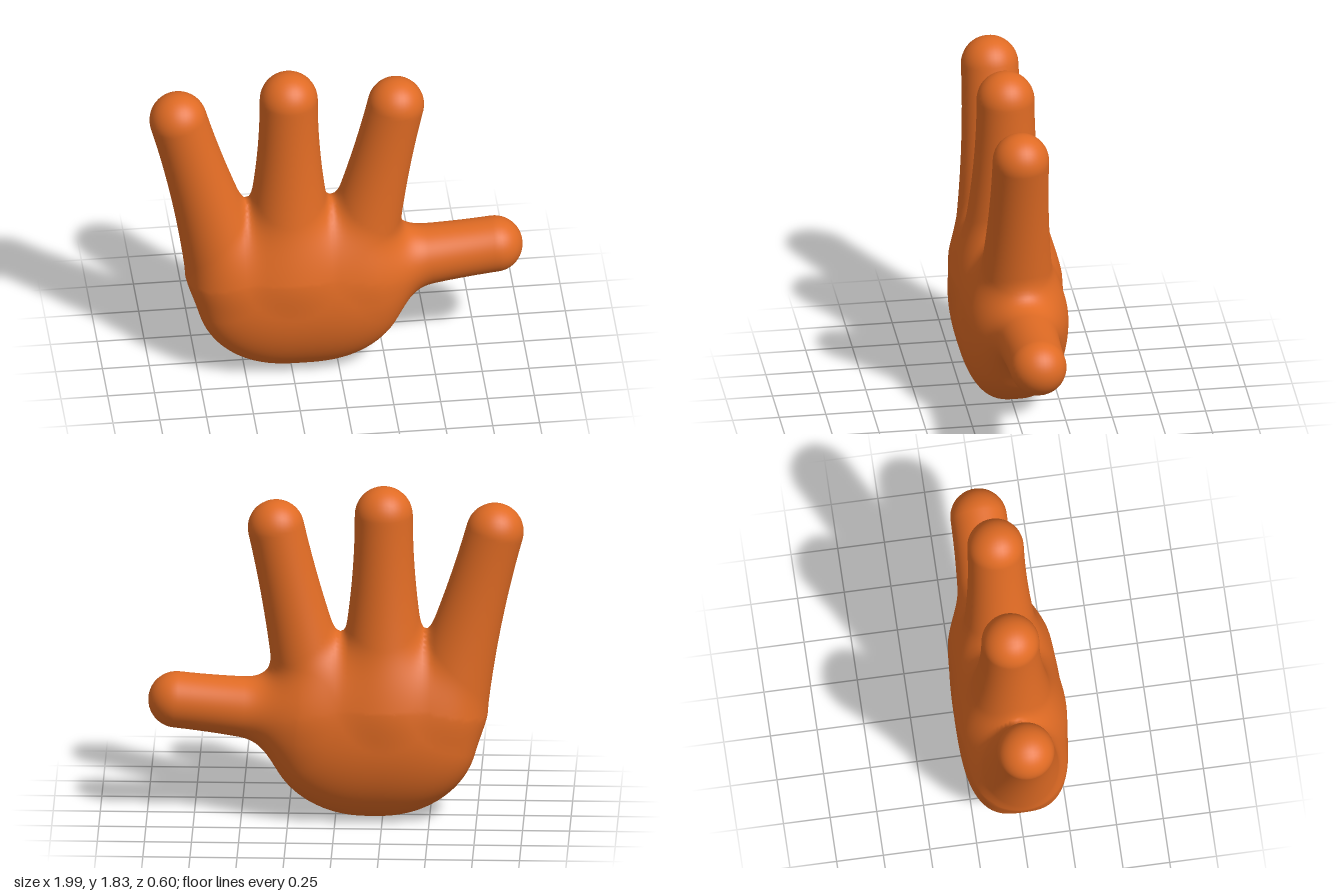
import * as THREE from 'three';

// Fingers taper from a thick root in the palm to a round tip
const FINGERS = [
  { tip: [-0.845, 1.59, 0], root: [-0.58, 0.63, 0], r: 0.153, flare: 0.08, blend: 0.09 },
  { tip: [-0.255, 1.675, 0], root: [-0.255, 0.65, 0], r: 0.154, flare: 0.12, blend: 0.09 },
  { tip: [0.317, 1.6, 0], root: [0.1, 0.63, 0], r: 0.15, flare: 0.07, blend: 0.09 },
  { tip: [0.845, 0.637, -0.017], root: [0.2, 0.57, -0.02], r: 0.15, flare: 0.04, blend: 0.15 }, // thumb
];

// Distance to the palm: a flattened, boxy ellipsoid, taller above its widest level
function palm(x, y, z) {
  const a = 0.56, c = 0.292, b = y < 0.46 ? 0.46 : 0.52;
  const X = Math.abs(x + 0.195) / a, Y = (y - 0.46) / b, Z = Math.abs(z) / c;
  const q = Math.max(Math.cbrt(X ** 3 + Z ** 3), 1e-4);
  const g = Math.hypot(q, Y);
  const slope = Math.hypot((X * X) / (q * a), (q === 1e-4 ? 0 : Z * Z) / (q * c), Y / b) / g;
  return (g - 1) / Math.max(slope, 1);
}

// Distance to one finger
function finger(x, y, z, { tip, root, r, flare }) {
  const d = root.map((v, i) => v - tip[i]);
  const px = x - tip[0], py = y - tip[1], pz = z - tip[2];
  const dot = px * d[0] + py * d[1] + pz * d[2];
  const s = Math.min(1, Math.max(0, dot / (d[0] ** 2 + d[1] ** 2 + d[2] ** 2)));
  return Math.hypot(px - d[0] * s, py - d[1] * s, pz - d[2] * s) - r - flare * s * s;
}

function smoothMin(a, b, k) {
  const h = Math.max(k - Math.abs(a - b), 0) / k;
  return Math.min(a, b) - h * h * k * 0.25;
}

// Palm and fingers melted together
function hand(x, y, z) {
  let d = palm(x, y, z);
  for (const f of FINGERS) d = smoothMin(d, finger(x, y, z, f), f.blend);
  return d;
}

function gradient([x, y, z]) {
  const e = 0.004;
  return [
    (hand(x + e, y, z) - hand(x - e, y, z)) / (2 * e),
    (hand(x, y + e, z) - hand(x, y - e, z)) / (2 * e),
    (hand(x, y, z + e) - hand(x, y, z - e)) / (2 * e),
  ];
}

// Skin over a distance function: one vertex per crossed cell, one quad per crossed edge
function skin(field, min, max, step) {
  const n = min.map((v, i) => Math.ceil((max[i] - v) / step) + 1);
  const stride = [1, n[0], n[0] * n[1]];
  const values = new Float32Array(n[0] * n[1] * n[2]);
  const each = (lo, trim, visit) => {
    for (let k = lo; k < n[2] - trim; k++)
      for (let j = lo; j < n[1] - trim; j++)
        for (let i = lo; i < n[0] - trim; i++) visit([i, j, k], i + j * stride[1] + k * stride[2]);
  };
  each(0, 0, (p, id) => {
    values[id] = field(...p.map((v, i) => min[i] + v * step));
  });

  const vertexOf = new Int32Array(values.length).fill(-1);
  const positions = [], normals = [], index = [];
  each(0, 1, (p, id) => {
    const sum = [0, 0, 0];
    let count = 0;
    for (let corner = 0; corner < 8; corner++) {
      const o = [corner & 1, (corner >> 1) & 1, corner >> 2];
      const from = id + o[0] + o[1] * stride[1] + o[2] * stride[2];
      for (let d = 0; d < 3; d++) {
        if (o[d]) continue;
        const v0 = values[from], v1 = values[from + stride[d]];
        if (v0 < 0 === v1 < 0) continue;
        for (let i = 0; i < 3; i++) sum[i] += o[i] + (i === d ? v0 / (v0 - v1) : 0);
        count++;
      }
    }
    if (!count) return;
    let pos = p.map((v, i) => min[i] + (v + sum[i] / count) * step);
    // Settle the vertex on the true surface
    for (let pass = 0; pass < 2; pass++) {
      const g = gradient(pos);
      const move = field(...pos) / Math.max(0.2, g[0] ** 2 + g[1] ** 2 + g[2] ** 2);
      const limited = Math.max(-step / 2, Math.min(step / 2, move));
      pos = pos.map((v, i) => v - g[i] * limited);
    }
    const g = gradient(pos), len = Math.hypot(...g) || 1;
    vertexOf[id] = positions.length / 3;
    positions.push(...pos);
    normals.push(g[0] / len, g[1] / len, g[2] / len);
  });

  each(1, 1, (p, id) => {
    for (let d = 0; d < 3; d++) {
      const inside = values[id] < 0;
      if (inside === values[id + stride[d]] < 0) continue;
      const u = stride[(d + 1) % 3], v = stride[(d + 2) % 3];
      const [a, b, c, e] = [id - u - v, id - v, id, id - u].map((cell) => vertexOf[cell]);
      if (inside) index.push(a, b, c, a, c, e);
      else index.push(a, c, b, a, e, c);
    }
  });

  const geometry = new THREE.BufferGeometry();
  geometry.setAttribute('position', new THREE.Float32BufferAttribute(positions, 3));
  geometry.setAttribute('normal', new THREE.Float32BufferAttribute(normals, 3));
  geometry.setIndex(index);
  return geometry;
}

export function createModel() {
  const group = new THREE.Group();
  group.name = 'openHand';
  const orange = new THREE.MeshStandardMaterial({ color: 0xe06b24 });
  orange.name = 'orange';

  const mesh = new THREE.Mesh(skin(hand, [-1.07, -0.07, -0.4], [1.07, 1.91, 0.4], 0.022), orange);
  mesh.name = 'palmAndFingers';
  mesh.geometry.computeBoundingBox();
  mesh.position.y = -mesh.geometry.boundingBox.min.y; // stand on the ground
  group.add(mesh);
  return group;
}
